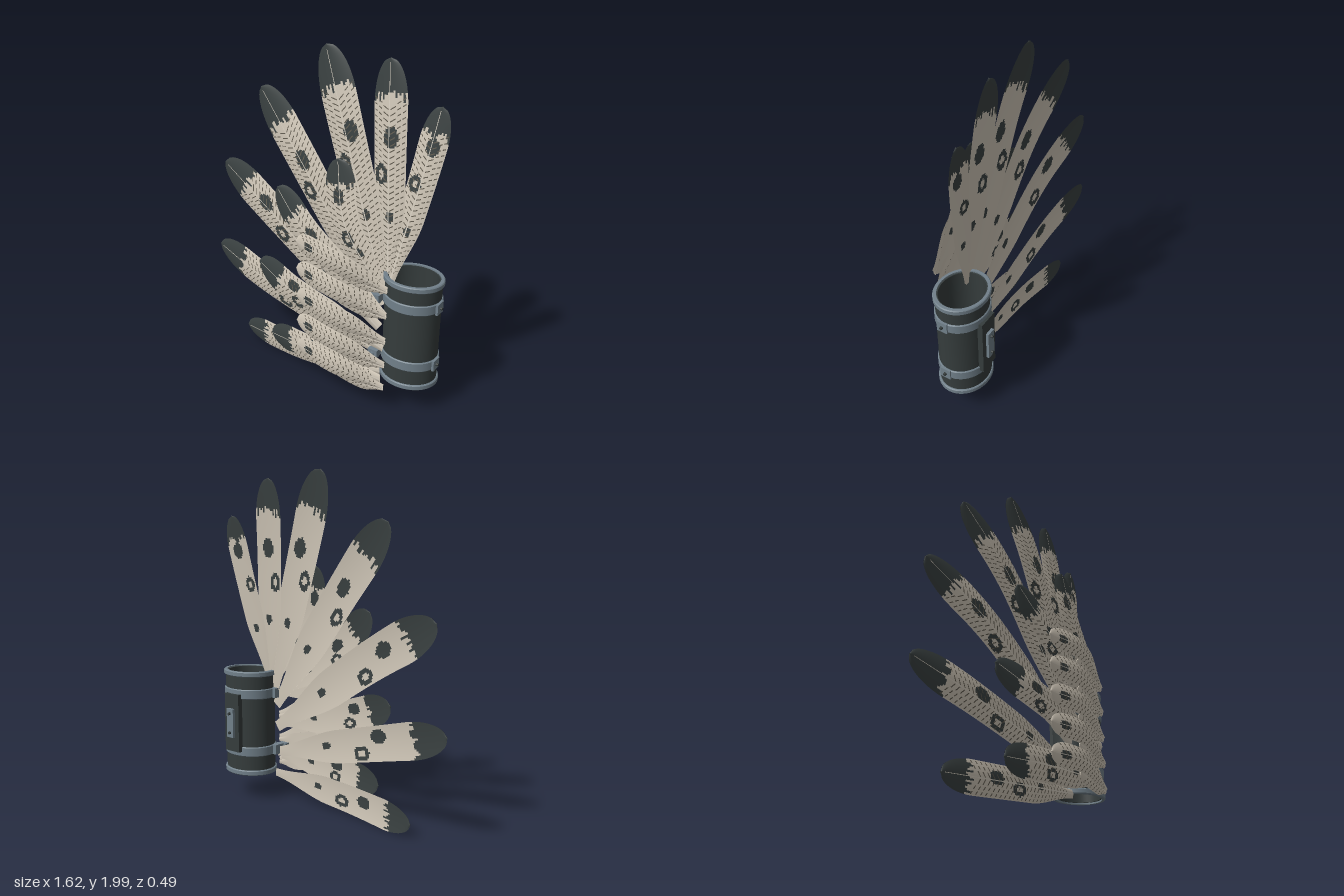
import * as THREE from 'three';

const mat = (name, color) => {
  const m = new THREE.MeshStandardMaterial({ color, side: THREE.DoubleSide });
  m.name = name;
  return m;
};

export function createModel() {
  const cream = mat('cream vane', 0xd0c7b8);
  const dark = mat('charcoal marking', 0x3a4141);
  const barb = mat('brown barb', 0x625c50);
  const shaft = mat('pale shaft', 0xd8d0c2);
  const metal = mat('steel', 0x71808a);
  const leather = mat('dark leather', 0x353c3c);

  const root = new THREE.Group();
  const add = (parent, name, geo, material, x = 0, y = 0, z = 0) => {
    const m = new THREE.Mesh(geo, material);
    m.name = name;
    m.position.set(x, y, z);
    parent.add(m);
    return m;
  };
  const noise = (i, s) => { const n = Math.sin(i * 127.1 + s * 311.7) * 43758.5453; return n - Math.floor(n); };

  // Indexed geometry whose triangles are sorted into material groups
  const build = (pos, groups) => {
    const g = new THREE.BufferGeometry();
    g.setAttribute('position', new THREE.Float32BufferAttribute(pos, 3));
    g.setIndex(groups.flat());
    let start = 0;
    groups.forEach((idx, i) => { g.addGroup(start, idx.length, i); start += idx.length; });
    g.computeVertexNormals();
    return g;
  };

  // One feather: a cambered vane with painted cells, barb dashes and a shaft.
  // Spots are [t, v, radius, inner radius]; t runs root to tip, v across.
  const feather = (name, pts, width, tipStart, spots, seed) => {
    const group = new THREE.Group();
    group.name = name;
    const curve = new THREE.CatmullRomCurve3(pts.map(p => new THREE.Vector3(...p)));
    const len = curve.getLength();
    const half = t => {
      const s = Math.min(t / 0.4, 1), grow = 0.28 + 0.6 * s * s * (3 - 2 * s) + 0.14 * t;
      const e = Math.max(0, (t - 0.8) / 0.2);
      return width / 2 * grow * Math.sqrt(Math.max(0, 1 - e * e));
    };
    // Point on the feather; lift moves it off the middle surface
    const at = (along, v, lift) => {
      const t = Math.min(along, 1);
      const p = curve.getPointAt(t), d = curve.getTangentAt(t);
      const k = half(t) / Math.hypot(d.x, d.y);
      return [p.x - d.y * k * v, p.y + d.x * k * v, p.z + lift - 0.1 * half(t) * v * v];
    };

    const NT = Math.max(30, Math.round(len / 0.0125)), NV = 18, row = NV + 1;
    const isDark = (i, j) => {
      const t = (i + 0.5) / NT, v = (j + 0.5) / NV * 2 - 1;
      if (t > tipStart + 0.05 * (noise(j, seed) - 0.5)) return true;
      return spots.some(([st, sv, r, inner]) => {
        const d = Math.hypot((t - st) * len * 0.8, (v - sv) * half(t) * 1.1);
        return d < r && d >= inner;
      });
    };
    const pos = [], light = [], painted = [];
    for (const side of [1, -1]) {
      const base = pos.length / 3;
      for (let i = 0; i <= NT; i++) for (let j = 0; j <= NV; j++) {
        const v = j / NV * 2 - 1;
        pos.push(...at(i / NT, v, side * (0.001 + 0.004 * (1 - v * v))));
      }
      for (let i = 0; i < NT; i++) for (let j = 0; j < NV; j++) {
        const a = base + i * row + j, b = a + row, c = b + 1, d = a + 1;
        const q = side > 0 ? [a, b, c, a, c, d] : [a, c, b, a, d, c];
        (isDark(i, j) ? painted : light).push(...q);
      }
    }
    add(group, 'vane', build(pos, [light, painted]), [cream, dark]);

    // Barb dashes slanting out towards the tip
    const bp = [], bi = [], step = 0.032 / len;
    const quad = (p, idx, corners) => {
      const n = p.length / 3;
      corners.forEach(c => p.push(...c));
      idx.push(n, n + 1, n + 2, n, n + 2, n + 3);
    };
    const thick = 0.0065 / len, barbEnd = Math.min(tipStart, 0.9) - 0.05;
    for (let t = 0.06; t < barbEnd; t += step) for (const s of [-1, 1])
      for (const [v0, v1] of [[0.06, 0.36], [0.46, 0.66], [0.76, 0.93]]) {
        const slant = v => t + v * half(t) * 0.6 / len + (v0 > 0.4 ? step * 0.3 : 0);
        const c = (v, dt) => at(slant(v) + dt, s * v, 0.0065 - 0.003 * v * v);
        const k = [c(v0, 0), c(v0, thick), c(v1, thick), c(v1, 0)];
        quad(bp, bi, s > 0 ? k : k.reverse());
      }
    add(group, 'barbs', build(bp, [bi]), barb);

    // Central shaft
    const sp = [], si = [];
    for (let i = 0; i < 24; i++) {
      const t0 = i / 24 * 0.98, t1 = (i + 1) / 24 * 0.98;
      const c = (t, s) => at(t, s * (0.0045 - 0.003 * t) / Math.max(half(t), 0.01), 0.0075);
      quad(sp, si, [c(t0, -1), c(t1, -1), c(t1, 1), c(t0, 1)]);
    }
    add(group, 'shaft', build(sp, [si]), shaft);
    root.add(group);
  };

  // Spots of a long or middle feather: a solid one, a ring and a small one
  const marks = (t, v, ringT, ringV, r) =>
    [[t, v, r, 0], [ringT, ringV, r, r * 0.45], [0.32, -0.1, r * 0.55, 0]];

  // Long outer feathers: tip, middle, root, width, start of dark tip, spots
  [
    [[0.69, 1.76, -0.115], [0.63, 1.4, -0.07], [0.5, 0.76, 0], 0.165, 0.86, marks(0.79, -0.1, 0.58, 0.4, 0.04)],
    [[0.39, 1.97, -0.105], [0.425, 1.56, -0.06], [0.49, 0.74, 0], 0.2, 0.84, marks(0.67, -0.1, 0.51, 0.5, 0.046)],
    [[0, 2.0, -0.09], [0.15, 1.61, -0.04], [0.46, 0.7, 0.005], 0.235, 0.83, marks(0.655, -0.3, 0.53, 0.45, 0.048)],
    [[-0.45, 1.71, -0.08], [-0.1, 1.33, -0.01], [0.45, 0.6, 0.01], 0.235, 0.83, marks(0.65, -0.1, 0.53, 0.45, 0.048)],
    [[-0.74, 1.2, -0.06], [-0.28, 0.95, 0.005], [0.45, 0.46, 0.015], 0.24, 0.84, marks(0.71, -0.15, 0.57, 0.5, 0.048)],
    [[-0.81, 0.62, -0.05], [-0.4, 0.51, 0.005], [0.45, 0.3, 0.015], 0.21, 0.83, marks(0.63, -0.4, 0.52, 0.5, 0.045)],
    [[-0.58, 0.09, -0.03], [-0.1, 0.115, 0.03], [0.46, 0.165, 0.01], 0.18, 0.83, marks(0.66, -0.15, 0.5, 0.3, 0.04)],
  ].forEach(([a, b, c, ...rest], i) => feather('longFeather' + (i + 1), [c, b, a], ...rest, i));

  // Middle layer
  [
    [[0.23, 1.465, 0.125], [0.3, 1.13, 0.16], [0.55, 0.78, 0.155], 0.19, 0.82, marks(0.74, 0.1, 0.44, 0.25, 0.038)],
    [[-0.19, 1.21, 0.115], [0.02, 1.01, 0.15], [0.56, 0.64, 0.155], 0.2, 0.8, marks(0.63, -0.2, 0.57, 0.5, 0.038)],
    [[-0.35, 0.69, 0.1], [-0.09, 0.6, 0.145], [0.56, 0.44, 0.155], 0.2, 0.8, marks(0.68, -0.35, 0.62, 0.5, 0.038)],
    [[-0.27, 0.21, 0.1], [0.06, 0.225, 0.14], [0.55, 0.23, 0.155], 0.19, 0.8, marks(0.58, -0.35, 0.57, 0.5, 0.038)],
  ].forEach(([a, b, c, ...rest], i) => feather('middleFeather' + (i + 1), [c, b, a], ...rest, i + 20));

  // Short front layer, with smaller feathers filling the gaps along the roots
  [[0.955, 0.93, 0.81], [0.785, 0.76, 0.655], [0.615, 0.595, 0.495], [0.445, 0.43, 0.34], [0.28, 0.27, 0.19]]
    .forEach(([yt, ym, yr], i) => {
      feather('shortFeather' + (i + 1), [[0.575, yr, 0.165], [0.27, ym, 0.24], [0, yt, 0.195]],
        0.14, 2, [[0.83, 0, 0.028, 0]], i + 40);
      feather('rootFeather' + (i + 1), [[0.575, yr - 0.015, 0.16], [0.43, (ym + yr) / 2 - 0.045, 0.19], [0.26, ym - 0.05, 0.2]],
        0.095, 2, [], i + 60);
    });

  // Hollow oval cuff
  const cuff = new THREE.Group();
  cuff.name = 'cuff';
  cuff.position.set(0.62, 0, -0.053);
  root.add(cuff);
  const band = (name, r0, r1, y0, y1, material) => {
    const b = 0.005;
    const prof = [[r0, y0], [r1 - b, y0], [r1 - b, y0], [r1, y0 + b], [r1, y0 + b], [r1, y1 - b],
      [r1, y1 - b], [r1 - b, y1], [r1 - b, y1], [r0, y1], [r0, y1], [r0, y0]];
    const g = new THREE.LatheGeometry(prof.map(p => new THREE.Vector2(...p)), 48);
    add(cuff, name, g.scale(1, 1, 0.86), material);
  };
  band('sleeve', 0.143, 0.163, 0.18, 0.812, leather);
  band('lowerRim', 0.151, 0.174, 0.17, 0.202, metal);
  band('upperRim', 0.151, 0.174, 0.788, 0.82, metal);

  const box = (name, w, h, d, material, x, y, z) => add(cuff, name, new THREE.BoxGeometry(w, h, d), material, x, y, z);
  const stud = (name, x, y, z, axis) => {
    const m = add(cuff, name, new THREE.CylinderGeometry(0.008, 0.01, 0.016, 12), leather, x, y, z);
    if (axis === 'x') m.rotation.z = -Math.PI / 2; else m.rotation.x = -Math.PI / 2;
  };
  for (const y of [0.32, 0.68]) {
    band('strap', 0.158, 0.171, y - 0.03, y + 0.03, metal);
    // Buckle plate and stud on the outer side
    box('buckle', 0.014, 0.065, 0.065, metal, 0.171, y, 0.015);
    stud('buckleStud', 0.182, y, 0.015, 'x');
    // Hinge blocks towards the feathers
    box('hingeBlock', 0.045, 0.06, 0.07, metal, -0.17, y, 0.06);
    box('hingeClamp', 0.06, 0.05, 0.03, metal, -0.17, y, 0.12);
    const pin = add(cuff, 'hingePin', new THREE.CylinderGeometry(0.012, 0.012, 0.06, 12), metal, -0.17, y, 0.115);
    pin.rotation.x = Math.PI / 2;
  }

  // Backplate with a steel latch
  box('backPlate', 0.12, 0.36, 0.035, leather, 0, 0.5, -0.144);
  box('backLatch', 0.055, 0.18, 0.018, metal, 0, 0.5, -0.169);
  for (const y of [0.44, 0.56]) stud('latchStud', 0, y, -0.182, 'z');

  return root;
}
